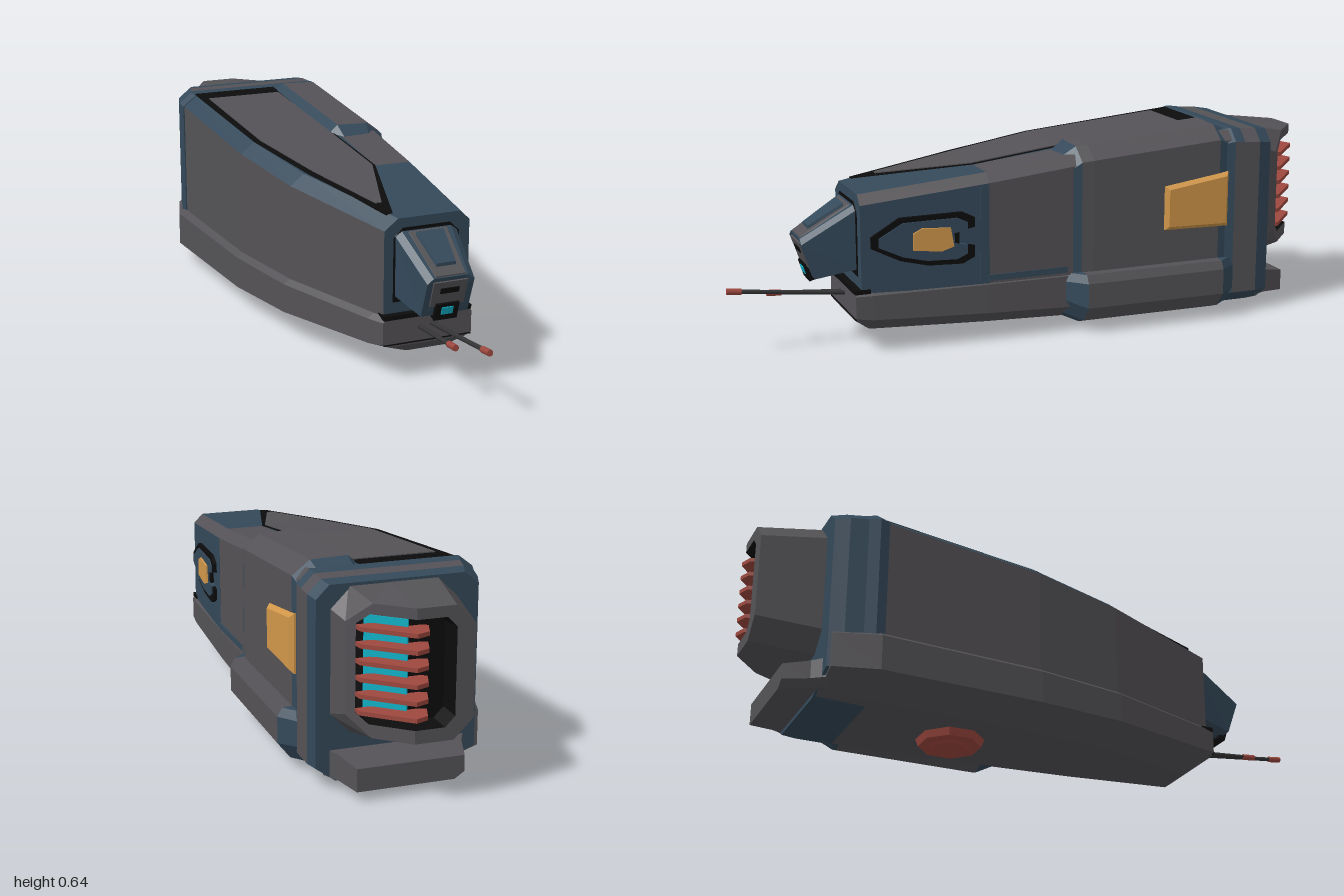
import * as THREE from 'three';

const mat = (name, color) => Object.assign(new THREE.MeshStandardMaterial({ color }), { name });

export function createModel() {
  const grey = mat('hull grey', 0x545256), blue = mat('slate blue', 0x34495a), black = mat('black', 0x0c0c0c);
  const yellow = mat('amber', 0xd2984a), red = mat('rust red', 0x9e483e), cyan = mat('cyan glow', 0x10b0c8);
  const dark = mat('barrel grey', 0x343436);
  const model = new THREE.Group();

  const add = (name, geo, m, pos = [0, 0, 0]) => {
    const mesh = new THREE.Mesh(geo, m);
    mesh.name = name;
    mesh.position.set(...pos);
    model.add(mesh);
    return mesh;
  };

  // Flat-faced skin over rings (counterclockwise from the front, listed front to back).
  // paint(segment, edge) picks the material; 'front' and 'back' are the caps.
  const loft = (name, rings, paint) => {
    const buckets = new Map();
    const put = (m, ...pts) => {
      if (!buckets.has(m)) buckets.set(m, []);
      pts.forEach(p => buckets.get(m).push(...p));
    };
    const n = rings[0].length, first = rings[0], last = rings[rings.length - 1];
    for (let i = 0; i + 1 < rings.length; i++) {
      for (let j = 0; j < n; j++) {
        const k = (j + 1) % n, a = rings[i][j], b = rings[i][k], c = rings[i + 1][j], d = rings[i + 1][k];
        put(paint(i, j), a, c, b, b, c, d);
      }
    }
    for (let j = 1; j + 1 < n; j++) {
      put(paint('front', j), first[0], first[j], first[j + 1]);
      put(paint('back', j), last[0], last[j + 1], last[j]);
    }
    const geo = new THREE.BufferGeometry(), all = [], mats = [];
    for (const [m, pts] of buckets) {
      geo.addGroup(all.length / 3, pts.length / 3, mats.length);
      mats.push(m);
      for (const v of pts) all.push(v);
    }
    geo.setAttribute('position', new THREE.Float32BufferAttribute(all, 3));
    geo.computeVertexNormals();
    return add(name, geo, mats);
  };
  const at = (z, pts) => pts.map(([x, y]) => [x, y, z]);
  const extrude = (pts, depth, bevel = 0) => new THREE.ExtrudeGeometry(
    new THREE.Shape(pts.map(p => new THREE.Vector2(...p))),
    { depth, bevelEnabled: bevel > 0, bevelSize: bevel, bevelOffset: -bevel, bevelThickness: bevel, bevelSegments: 1 });

  // Upper hull: z, left x, right x, top y
  const hull = [[0.61, -0.065, 0.215, 0.5], [0.2, -0.2, 0.24, 0.542], [-0.1, -0.255, 0.245, 0.575], [-0.65, -0.28, 0.25, 0.62]];
  loft('upperHull', hull.map(([z, l, r, t]) => at(z, [
    [r, 0.19], [r, t - 0.03], [r - 0.03, t], [0.09, t], [l + 0.045, t], [l, t - 0.035], [l, 0.19]])),
  (s, e) => {
    if (s === 'front' || e === 3 || e === 4) return blue;
    return s === 0 && (e === 0 || e === 2) ? blue : grey;
  });

  // Canopy: dark frame with a grey panel on the sloping roof
  const topY = z => {
    const i = z > 0.2 ? 0 : z > -0.1 ? 1 : 2, [a, , , ya] = hull[i], [b, , , yb] = hull[i + 1];
    return ya + (yb - ya) * (z - a) / (b - a);
  };
  const roofPlate = (name, rows, h, m) => loft(name, rows.map(([z, l, r]) => {
    const y = topY(z);
    return at(z, [[l, y - 0.004], [r, y - 0.004], [r, y + h], [l, y + h]]);
  }), () => m);
  roofPlate('canopyFrame', [[0.57, -0.04, -0.02], [0.2, -0.145, 0.09], [-0.1, -0.208, 0.075], [-0.65, -0.235, 0.062]], 0.002, black);
  roofPlate('canopyPanel', [[0.49, -0.04, -0.02], [0.2, -0.122, 0.08], [-0.1, -0.187, 0.066], [-0.57, -0.205, 0.055]], 0.005, grey);

  // Raised equipment block on the left flank
  const block = [[-0.05, 0.1, 0.236, 0.56], [-0.11, 0.09, 0.252, 0.602], [-0.15, 0.09, 0.256, 0.606], [-0.6, 0.085, 0.256, 0.64], [-0.645, 0.085, 0.25, 0.622]];
  loft('flankBlock', block.map(([z, l, r, t]) => at(z, [
    [l, 0.19], [r, 0.19], [r, t - 0.047], [r - 0.055, t - 0.004], [l, t], [l - 0.027, t - 0.025]])),
  (s, e) => (s === 0 || s === 3 || s === 'front' || e === 4 ? blue : grey));

  // Vertical rib on the flank
  add('flankRib', new THREE.BoxGeometry(0.006, 0.3, 0.03), blue, [0.238, 0.35, 0.215]);
  add('flankSill', new THREE.BoxGeometry(0.008, 0.02, 0.27), blue, [0.241, 0.208, 0.07]);

  // Lower skirt: z, left x, right x, bottom y
  const skirt = [[0.63, -0.075, 0.22, 0.105], [0.575, -0.1, 0.225, 0.062], [0.2, -0.225, 0.238, 0.046], [-0.1, -0.275, 0.243, 0.036], [-0.64, -0.305, 0.255, 0.028], [-0.78, -0.26, 0.24, 0.03]];
  loft('lowerSkirt', skirt.map(([z, l, r, b], i) => at(z, [
    [l + (i ? 0.13 : 0.02), b], [r - (i ? 0.06 : 0.02), b], [r, b + (i ? 0.045 : 0.01)], [r, 0.185], [r - 0.015, 0.2],
    [l + 0.02, 0.2], [l, 0.185], [l, b + (i ? 0.045 : 0.01)]])), () => grey);
  add('frontGap', new THREE.BoxGeometry(0.29, 0.014, 0.05), black, [0.073, 0.198, 0.607]);
  add('frontSeam', new THREE.BoxGeometry(0.29, 0.004, 0.004), black, [0.073, 0.112, 0.63]);

  // Side bulge on the skirt
  const bulge = [[-0.06, 0.242, 0.04], [-0.115, 0.3, 0.022], [-0.6, 0.302, 0.02], [-0.66, 0.258, 0.024]];
  loft('skirtBulge', bulge.map(([z, r, b]) => at(z, [
    [0.18, b + 0.014], [r - 0.08, b], [r - 0.04, b + 0.015], [r, b + 0.065], [r, 0.168], [r - 0.015, 0.195], [0.18, 0.2]])),
  s => (s === 1 ? grey : blue));

  // Rear collar: z, left x, right x, top y
  const collar = [[-0.625, -0.283, 0.252, 0.618], [-0.655, -0.287, 0.26, 0.624], [-0.69, -0.275, 0.26, 0.62], [-0.745, -0.262, 0.26, 0.618], [-0.79, -0.245, 0.25, 0.612]];
  loft('rearCollar', collar.map(([z, l, r, t]) => at(z, [
    [-0.12, 0.026], [r - 0.06, 0.026], [r, 0.07], [r, t - 0.04], [r - 0.04, t], [l + 0.045, t], [l, t - 0.035], [l, 0.08]])),
  (s, e) => ((s === 2 && e >= 3 && e <= 4) || ((s === 1 || s === 2) && e === 2) ? grey : blue));

  // Engine housing with an obliquely cut, recessed exhaust
  const engineRing = (x0, x1, y0, y1, c, zOf) => [
    [0.03, y0], [x1 - c, y0], [x1, y0 + c], [x1, y1 - c], [x1 - c, y1],
    [0.03, y1], [x0 + c, y1], [x0, y1 - c], [x0, y0 + c], [x0 + c, y0]].map(([x, y]) => [x, y, zOf(x)]);
  const cut = x => -0.99 + Math.max(0, x - 0.03) * 0.9;
  loft('engineHousing', [
    engineRing(-0.18, 0.21, 0.17, 0.605, 0.06, () => -0.78),
    engineRing(-0.147, 0.185, 0.19, 0.582, 0.06, cut),
    engineRing(-0.09, 0.162, 0.23, 0.55, 0.03, cut),
    engineRing(-0.085, 0.157, 0.235, 0.545, 0.03, x => cut(x) + 0.07)],
  s => (s === 2 || s === 'back' ? black : grey));
  add('exhaustGlow', new THREE.BoxGeometry(0.13, 0.29, 0.008), cyan, [0.078, 0.39, -0.884]).rotation.y = -0.73;
  const fin = extrude([[-0.03, -0.93], [-0.01, -0.985], [0.03, -1], [0.155, -0.887], [0.158, -0.86], [0.12, -0.86]], 0.013);
  fin.rotateX(Math.PI / 2);
  for (let i = 0; i < 6; i++) add('exhaustFin', fin, red, [0, 0.268 + i * 0.049, 0]);

  // Rear step below the engine
  loft('rearStep', [[-0.77, 0.04, 0.125, 0.22], [-0.82, 0.037, 0.115, 0.19], [-0.9, 0.03, 0.1, 0.165]].map(([z, b, t, r]) =>
    at(z, [[-r + 0.03, b], [r, b], [r, t], [-r, t], [-r, b + 0.02]])), () => grey);

  // Belly hatch
  const disc = (name, r0, r1, h, y) => add(name, new THREE.CylinderGeometry(r0, r1, h, 8).rotateY(Math.PI / 8).toNonIndexed(), red, [0.02, y, -0.29]).geometry.computeVertexNormals();
  disc('bellyHatch', 0.112, 0.1, 0.03, 0.024);
  disc('bellyHatchCap', 0.07, 0.055, 0.012, 0.006);

  // Sensor head in its dark recess
  add('headRecess', extrude([[-0.035, 0.24], [0.18, 0.24], [0.18, 0.44], [0.15, 0.47], [-0.005, 0.47], [-0.035, 0.44]], 0.006), black, [0, 0, 0.607]);
  const head = (l, r, b, t, zb, zt) => [[l, b, zb], [r, b, zb], [r, t - 0.015, zt], [r - 0.02, t, zt], [l + 0.02, t, zt], [l, t - 0.015, zt]];
  loft('sensorHead', [head(-0.004, 0.148, 0.235, 0.362, 0.738, 0.778), head(-0.03, 0.172, 0.26, 0.462, 0.61, 0.61)], () => blue);

  // Face plates lie on the head's leaning front: u across, v up
  const face = (name, w, h, v, d, m) => {
    const lean = 0.31;
    add(name, new THREE.BoxGeometry(w, h, d), m, [0.072, 0.235 + v * Math.cos(lean), 0.738 + v * Math.sin(lean)]).rotation.x = lean;
  };
  face('facePlate', 0.11, 0.085, 0.078, 0.01, grey);
  face('faceSlit', 0.06, 0.018, 0.09, 0.016, black);
  face('lensHousing', 0.075, 0.058, 0.016, 0.024, black);
  face('lens', 0.037, 0.025, 0.021, 0.03, cyan);

  // Brow plate and raised button on the head's sloping top
  const brow = (name, w0, w1, h, z0, z1, m) => {
    const y = z => 0.362 + (0.778 - z) * 0.595;
    loft(name, [[z0, w0], [z1, w1]].map(([z, w]) => at(z, [
      [0.072 - w, y(z) - 0.01], [0.072 + w, y(z) - 0.01], [0.072 + w * 0.9, y(z) + h], [0.072 - w * 0.9, y(z) + h]])), () => m);
  };
  brow('browPlate', 0.053, 0.068, 0.004, 0.775, 0.62, grey);
  brow('browButton', 0.034, 0.05, 0.014, 0.745, 0.635, blue);

  // Twin barrels with red tips
  const barrel = (x, from, to) => {
    const a = new THREE.Vector3(x, ...from), b = new THREE.Vector3(x, ...to);
    const dir = b.clone().sub(a).normalize(), tip = b.clone().addScaledVector(dir, -0.045);
    const rod = (name, p, q, r, m) => add(name, new THREE.CylinderGeometry(r, r, p.distanceTo(q), 10), m,
      p.clone().add(q).multiplyScalar(0.5).toArray()).quaternion.setFromUnitVectors(new THREE.Vector3(0, 1, 0), dir);
    rod('barrel', a, tip, 0.007, dark);
    rod('barrelTip', tip, b, 0.01, red);
  };
  barrel(0.085, [0.162, 0.61], [0.207, 1]);
  barrel(0.046, [0.157, 0.61], [0.178, 0.868]);

  // Flank plates: points are z, y around a centre z
  const flankPlate = (name, pts, depth, m, x, zc, yaw, bevel = 0) => {
    const flat = pts.map(([z, y]) => [zc - z, y]).reverse();
    add(name, extrude(flat, depth, bevel), m, [x, 0, zc]).rotation.y = Math.PI / 2 + yaw;
  };
  const badge = [[0.58, 0.37], [0.49, 0.425], [0.29, 0.43], [0.25, 0.41], [0.25, 0.38], [0.3, 0.37], [0.3, 0.33],
    [0.25, 0.32], [0.25, 0.285], [0.29, 0.265], [0.4, 0.268], [0.49, 0.29], [0.58, 0.335]];
  const shrink = badge.map(([z, y]) => [0.42 + (z - 0.42) * 0.86, 0.348 + (y - 0.348) * 0.8]);
  flankPlate('badgeRim', badge, 0.012, black, 0.226, 0.42, -0.06);
  flankPlate('badgeFace', shrink, 0.016, blue, 0.226, 0.42, -0.06);
  flankPlate('badgeLight', [[0.45, 0.375], [0.42, 0.39], [0.33, 0.385], [0.32, 0.325], [0.36, 0.312], [0.45, 0.322]], 0.022, yellow, 0.226, 0.42, -0.06);
  flankPlate('amberPanel', [[-0.4, 0.455], [-0.63, 0.487], [-0.63, 0.305], [-0.4, 0.31]], 0.008, yellow, 0.252, -0.5, 0, 0.012);

  return model;
}
